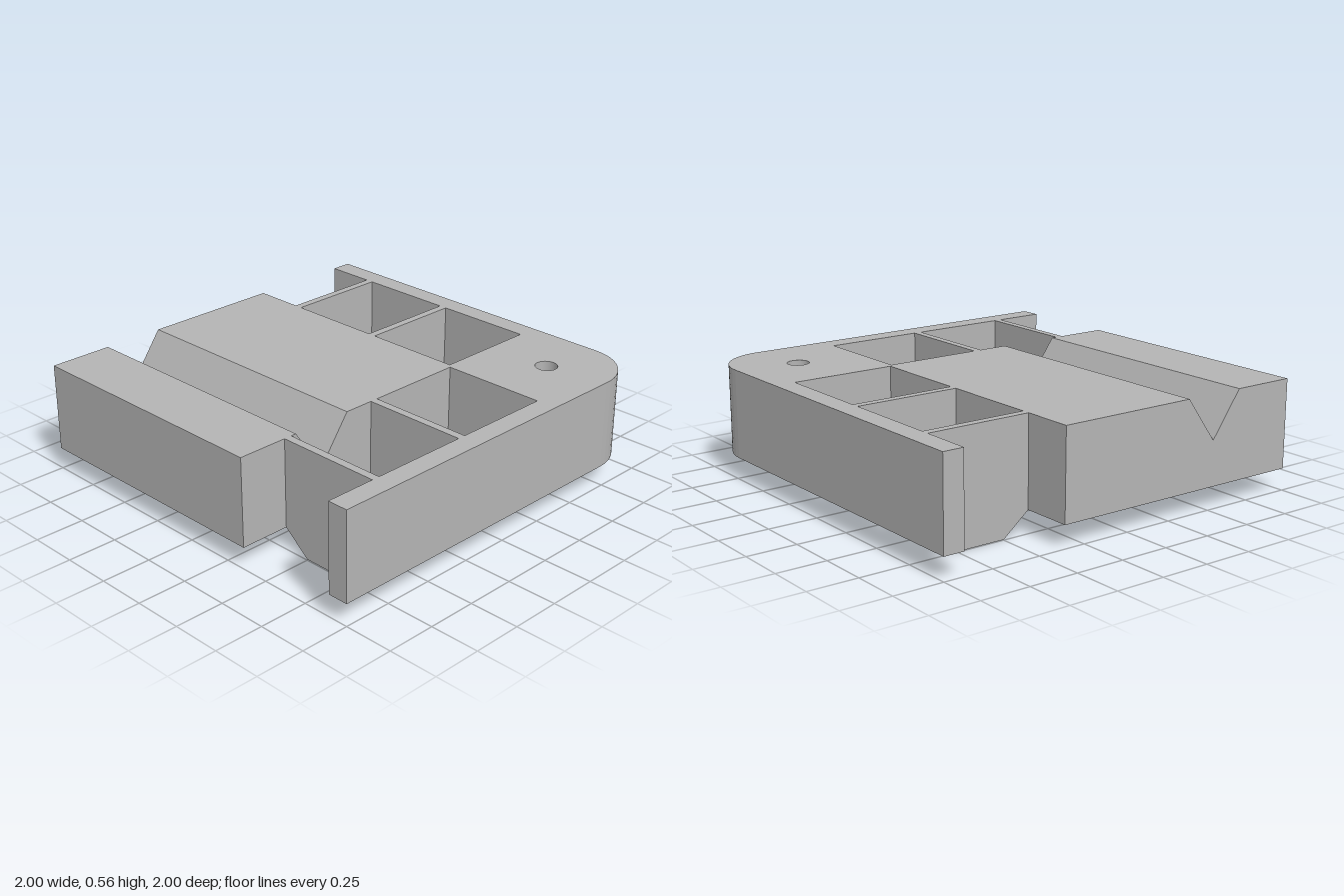
import * as THREE from 'three';
import { toCreasedNormals } from 'three/addons/utils/BufferGeometryUtils.js';

const LOW = 0.11, TOP = 0.555;     // underside and top of the main body
const IN = 0.36, OUT = 0.895;      // block edge and inner face of the outer walls
const HOLE = [0.677, -0.68];       // screw hole centre (x, z)

export function createModel() {
  const grey = new THREE.MeshStandardMaterial({ color: 0xb4b4b4 });
  grey.name = 'grey plastic';
  const model = new THREE.Group();
  model.name = 'cornerBracket';

  const add = (parent, name, geometry) => {
    const mesh = new THREE.Mesh(geometry, grey);
    mesh.name = name;
    parent.add(mesh);
    return mesh;
  };
  const shapeOf = (pts) => new THREE.Shape(pts.map(([x, y]) => new THREE.Vector2(x, y)));
  const extrude = (pts, depth) =>
    new THREE.ExtrudeGeometry(shapeOf(pts), { depth, bevelEnabled: false });

  // Clamping block with a V groove running along x (profile in -z, y)
  const block = extrude([
    [IN, LOW], [IN, TOP], [-0.36, TOP], [-0.52, 0.335], [-0.677, TOP], [-1, TOP], [-1, LOW],
  ], 1 + IN);
  block.rotateY(Math.PI / 2).translate(-1, 0, 0);
  add(model, 'grooveBlock', block);

  // L-shaped frame outline (x, z): two walls, rounded corner and corner pad
  const outline = [[-1, -1]];
  const radius = 0.27, steps = 12;
  for (let i = 0; i <= steps; i++) {
    const a = (i / steps) * Math.PI / 2;
    outline.push([1 - radius + radius * Math.sin(a), -1 + radius - radius * Math.cos(a)]);
  }
  outline.push([1, 1], [OUT, 1], [OUT, -0.34], [IN, -0.34], [IN, -IN], [0.34, -IN],
    [0.34, -OUT], [-1, -OUT]);

  const frame = new THREE.Group();
  frame.name = 'cornerFrame';
  model.add(frame);

  // Flat faces of the frame, each pierced by a round hole
  const face = (name, up, y, holeRadius) => {
    const s = up ? -1 : 1;
    const shape = shapeOf(outline.map(([x, z]) => [x, s * z]));
    const hole = new THREE.Path();
    hole.absarc(HOLE[0], s * HOLE[1], holeRadius, 0, Math.PI * 2, true);
    shape.holes.push(hole);
    add(frame, name, new THREE.ShapeGeometry(shape, 16).rotateX(s * Math.PI / 2).translate(0, y, 0));
  };
  face('frameTop', true, TOP, 0.055);
  face('frameUnderside', false, LOW, 0.2);

  // Vertical sides of the frame
  const sides = [];
  outline.forEach(([ax, az], i) => {
    const [bx, bz] = outline[(i + 1) % outline.length];
    sides.push(ax, LOW, az, ax, TOP, az, bx, TOP, bz, ax, LOW, az, bx, TOP, bz, bx, LOW, bz);
  });
  const sideGeometry = new THREE.BufferGeometry();
  sideGeometry.setAttribute('position', new THREE.Float32BufferAttribute(sides, 3));
  sideGeometry.computeVertexNormals();
  add(frame, 'frameSides', sideGeometry);

  // Screw hole widening to a counterbore below
  const bore = new THREE.LatheGeometry(
    [[0.055, TOP], [0.055, 0.44], [0.2, 0.44], [0.2, LOW]].map(([r, y]) => new THREE.Vector2(r, y)), 32);
  add(frame, 'counterbore', toCreasedNormals(bore, 0.5)).position.set(HOLE[0], 0, HOLE[1]);

  // Ribs with tapered feet, mirrored across the diagonal
  const width = 0.04;
  for (const s of [0.725, 0.185, -IN]) {
    const top = s < 0 ? LOW : TOP;   // the innermost pair sits under the corner pad
    const profile = [[IN, LOW], [0.495, 0], [0.76, 0], [OUT, LOW]];
    if (top > LOW) profile.push([OUT, top], [IN, top]);
    add(model, 'sideRib', extrude(profile, width)).position.z = s - width / 2;
    const back = add(model, 'backRib', extrude(profile, width).rotateY(Math.PI / 2));
    back.position.x = -s - width / 2;
  }
  return model;
}
